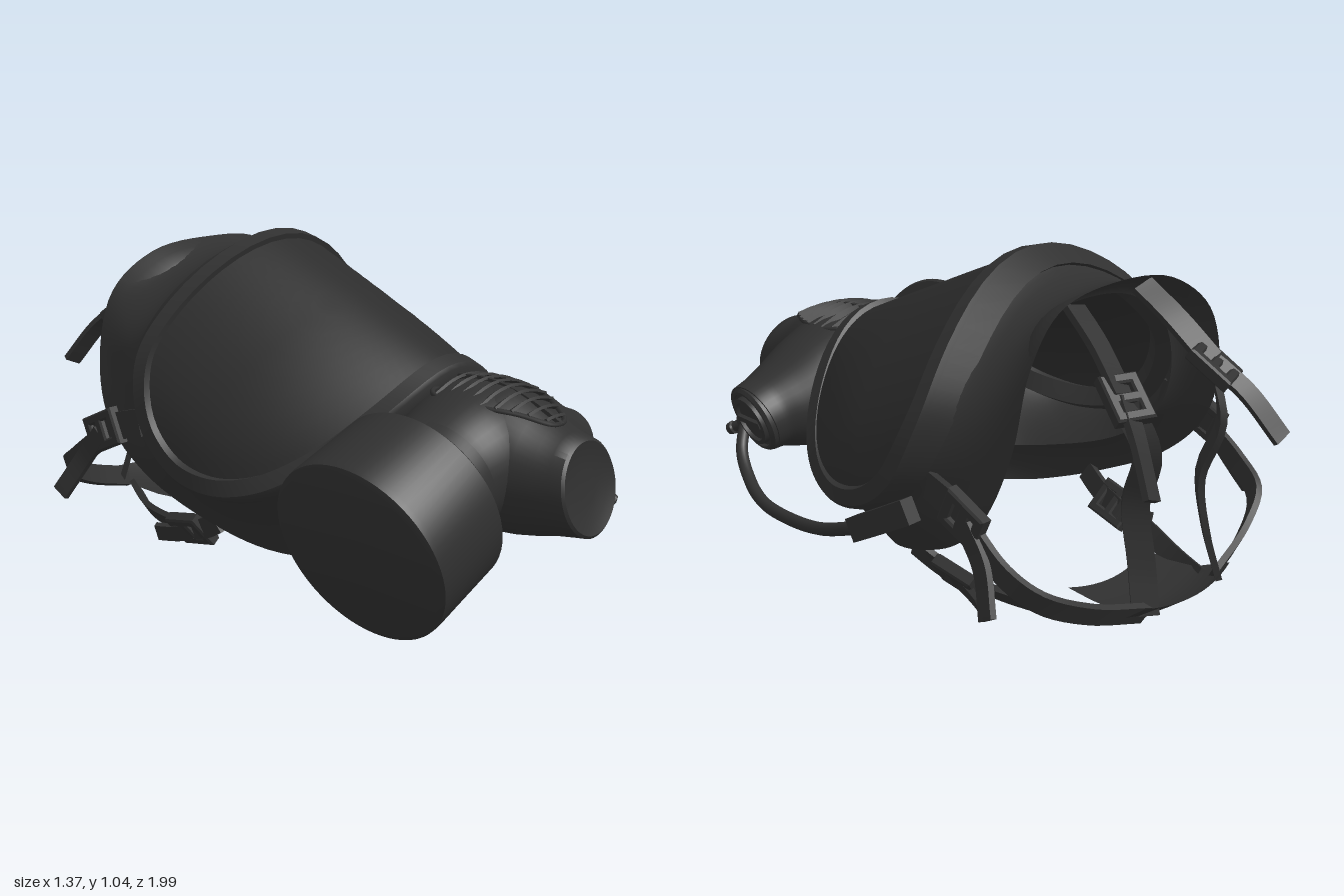
import * as THREE from 'three';
import { toCreasedNormals } from 'three/addons/utils/BufferGeometryUtils.js';

const V = (x, y, z) => new THREE.Vector3(x, y, z);
const rubber = new THREE.MeshStandardMaterial({ color: 0x303030, side: THREE.DoubleSide });
const lensMat = new THREE.MeshStandardMaterial({ color: 0x2c2c2c, side: THREE.DoubleSide });

// Skin between rings of points; ringClosed joins each ring, loop joins last to first, caps close the ends
function loft(rings, { ringClosed = true, loop = false, caps = false } = {}, crease = 0.6) {
  const n = rings[0].length, pos = [], idx = [], m = rings.length;
  rings.forEach(r => r.forEach(p => pos.push(p.x, p.y, p.z)));
  for (let i = 0; i < (loop ? m : m - 1); i++)
    for (let j = 0; j < (ringClosed ? n : n - 1); j++) {
      const k = (j + 1) % n, a = i * n, b = ((i + 1) % m) * n;
      idx.push(a + j, a + k, b + j, a + k, b + k, b + j);
    }
  if (caps) [0, m - 1].forEach(e => {
    const c = rings[e].reduce((s, p) => s.add(p), V(0, 0, 0)).divideScalar(n);
    const ci = pos.length / 3;
    pos.push(c.x, c.y, c.z);
    for (let j = 0; j < n; j++) {
      const k = (j + 1) % n;
      e ? idx.push(e * n + j, e * n + k, ci) : idx.push(k, j, ci);
    }
  });
  const g = new THREE.BufferGeometry();
  g.setAttribute('position', new THREE.Float32BufferAttribute(pos, 3));
  g.setIndex(idx);
  return toCreasedNormals(g, crease);
}

// Flat ribbon along a smooth path, its width lying along wdir
function ribbon(pts, wdir, w, h, seg = 20) {
  const c = new THREE.CatmullRomCurve3(pts), rings = [];
  for (let i = 0; i <= seg; i++) {
    const p = c.getPoint(i / seg), T = c.getTangent(i / seg);
    const W = wdir.clone().addScaledVector(T, -wdir.dot(T)).normalize();
    const N = T.clone().cross(W);
    rings.push([[-1, -1], [1, -1], [1, 1], [-1, 1]].map(([a, b]) =>
      p.clone().addScaledVector(W, a * w / 2).addScaledVector(N, b * h / 2)));
  }
  return loft(rings, { caps: true });
}

export function createModel() {
  const model = new THREE.Group();
  const mask = new THREE.Group();
  mask.name = 'mask';
  mask.position.x = 0.04;
  model.add(mask);
  const add = (name, geo, mat = rubber, parent = mask) => {
    const m = new THREE.Mesh(geo, mat);
    m.name = name;
    parent.add(m);
    return m;
  };
  const turned = (name, profile, at, axis, seg = 48) => {
    const g = new THREE.LatheGeometry(profile.map(p => new THREE.Vector2(...p)), seg);
    const m = add(name, toCreasedNormals(g, 0.6));
    m.position.copy(at);
    m.quaternion.setFromUnitVectors(V(0, 1, 0), axis.clone().normalize());
    return m;
  };

  // Visor surface: a sloping arched barrel, narrower at the front; a = angle round it, t = distance up the slope
  const surf = (a, t) => {
    const c = Math.cos(a), s = 0.25 + 0.57 * (c - 0.5 * c * c * (1 - c));
    const taper = 1 - 1.1 * Math.max(0, 0.28 - t) ** 2;
    return V(0.59 * taper * Math.sin(a), 0.9 * s + 0.43 * t, 0.43 * s - 0.9 * t);
  };
  const norm = a => V(Math.sin(a), 0.9 * Math.cos(a), 0.43 * Math.cos(a)).normalize();
  const N = 108;
  const mirrored = half => half.concat(half.slice(1, -1).reverse().map(([x, ...r]) => [-x, ...r]));
  const closedCurve = half => new THREE.CatmullRomCurve3(
    mirrored(half).map(([x, y, z = 0]) => V(x, y, z)), true);
  const outline2 = closedCurve([[0, 0.685], [0.774, 0.663], [1.2, 0.595], [1.5, 0.436], [1.571, 0.285],
    [1.52, 0.133], [1.362, 0.007], [1.039, -0.095], [0.568, -0.15], [0, -0.15]]);
  const edge = Array.from({ length: N }, (_, i) => outline2.getPoint(i / N));
  const outline = edge.map(e => surf(e.x, e.y));

  // Lens: rings shrinking to the middle of the surface
  const lensRings = [];
  for (let k = 0; k <= 10; k++) {
    const f = 0.97 * (1 - k / 10) + 0.001;
    lensRings.push(edge.map(e => surf(e.x * f, 0.28 + (e.y - 0.28) * f)));
  }
  add('visorLens', loft(lensRings, {}, 1), lensMat);

  // Raised frame swept along the outline, with a collar sloping back over the brow
  const mid = surf(0, 0.28);
  add('visorFrame', loft(outline.map((p, i) => {
    const T = outline[(i + 1) % N].clone().sub(outline[(i + N - 1) % N]).normalize();
    const n = norm(edge[i].x), B = T.clone().cross(n).normalize();
    if (B.dot(p.clone().sub(mid)) < 0) B.negate();
    const brow = Math.max(0, Math.cos(i / N * Math.PI * 2));
    return [[-0.055, -0.01], [-0.05, 0.018], [0, 0.02 - 0.01 * brow], [0.012, 0.01 - 0.015 * brow],
      [0.024 + 0.045 * brow, -0.025 - 0.045 * brow], [0, -0.05 - 0.03 * brow]]
      .map(([b, h]) => p.clone().addScaledVector(B, b).addScaledVector(n, h));
  }), { loop: true }));

  // Face piece: skin from the frame back to the rim of the face opening
  const rimCurve = closedCurve([[0, 0.99, -0.575], [0.25, 0.96, -0.595], [0.4, 0.84, -0.63], [0.465, 0.62, -0.63],
    [0.49, 0.42, -0.56], [0.47, 0.27, -0.42], [0.42, 0.15, -0.2], [0.34, 0.07, 0.02], [0.2, 0.045, 0.22], [0, 0.025, 0.3]]);
  const rim = Array.from({ length: N }, (_, i) => rimCurve.getPoint(i / N));
  const bodyRings = [];
  for (let k = 0; k <= 10; k++) {
    const f = k / 10, bulge = 4 * f * (1 - f);
    bodyRings.push(outline.map((p, i) => {
      const c = Math.cos(i / N * Math.PI * 2);
      const q = p.clone().lerp(rim[i], f);
      q.x *= 1 - 0.06 * bulge * THREE.MathUtils.smoothstep(c, -0.4, 0.4);
      return q.add(V(0, -0.045 * bulge * Math.max(0, c), 0.08 * bulge * Math.max(0, -c)));
    }));
  }
  add('facePiece', loft(bodyRings, {}, 1.2));
  // Turned-in seal inside the rim, deeper toward the chin
  add('faceSeal', loft([0, 0.25, 0.5, 0.75, 1].map(f => rim.map((p, i) => {
    const d = (0.24 - 0.09 * Math.cos(i / N * Math.PI * 2)) * f;
    return V(p.x * (1 - d), p.y + (0.48 - p.y) * d, p.z + 0.12 * Math.sin(f * 1.5));
  })), {}, 1));
  const cup = add('noseCup', new THREE.SphereGeometry(1, 32, 16, 0, Math.PI));
  cup.scale.set(0.22, 0.22, 0.18);
  cup.position.set(0, 0.36, 0.26);

  // Snout: cross tube reaching from filter port to side valve
  const sn = [[-0.34, 0.375, 0.62, 0.18], [-0.24, 0.405, 0.61, 0.185], [-0.12, 0.425, 0.6, 0.21], [0, 0.43, 0.58, 0.225],
    [0.13, 0.42, 0.58, 0.216], [0.24, 0.4, 0.58, 0.188], [0.34, 0.38, 0.585, 0.148], [0.4, 0.37, 0.59, 0.125], [0.445, 0.36, 0.59, 0.117]];
  const snC = new THREE.CatmullRomCurve3(sn.map(p => V(p[0], p[1], p[2])));
  const snR = new THREE.CatmullRomCurve3(sn.map(p => V(p[3], 0, 0)));
  const snout = [];
  for (let i = 0; i <= 40; i++) {
    const p = snC.getPoint(i / 40), r = snR.getPoint(i / 40).x;
    const lean = i < 20 ? 0.37 * (1 - i / 20) : -0.3 * (i / 20 - 1);
    snout.push(Array.from({ length: 40 }, (_, j) => {
      const q = j / 40 * Math.PI * 2, u = r * Math.cos(q);
      return V(p.x - u * lean, p.y + u, p.z + r * 1.06 * Math.sin(q));
    }));
  }
  add('snout', loft(snout, { caps: true }, 0.8));

  // Front outlet flaring out of the snout, end tipped slightly up and dished: z, centre height, radius, lean
  const outlet = [[0.6, 0.43, 0.224, 0], [0.7, 0.425, 0.218, 0], [0.76, 0.415, 0.205, 0.03], [0.82, 0.405, 0.185, 0.07], [0.88, 0.398, 0.164, 0.12],
    [0.93, 0.393, 0.152, 0.16], [0.968, 0.39, 0.145, 0.17], [0.975, 0.39, 0.136, 0.17], [0.963, 0.39, 0.1, 0.17], [0.957, 0.39, 0.05, 0.17]];
  add('frontOutlet', loft(outlet.map(([z, y, r, lean]) => Array.from({ length: 48 }, (_, j) => {
    const q = j / 48 * Math.PI * 2, u = r * Math.cos(q);
    return V(r * Math.sin(q), y + u, z - u * lean);
  })), { caps: true }));

  // Vent grille on top of the snout
  const gy = (x, z) => 0.657 - 0.9 * Math.max(0, z - 0.58) ** 1.8 - 0.6 * Math.max(0, 0.58 - z) ** 2 - 1.5 * x * x;
  const gw = z => z < 0.62 ? 0.165 - 9 * Math.max(0, 0.56 - z) ** 2 : 0.165 - 0.135 * ((z - 0.62) / 0.24) ** 1.6;
  const grille = new THREE.Group();
  grille.name = 'ventGrille';
  mask.add(grille);
  for (let i = 0; i < 9; i++) {
    const z = 0.52 + i * 0.04, w = gw(z);
    add('ventSlat', ribbon([-1, -0.5, 0, 0.5, 1].map(f => V(f * w, gy(f * w, z), z)), V(0, 0.5, 0.8), 0.024, 0.009, 12), rubber, grille);
  }
  add('ventRib', ribbon([0.5, 0.6, 0.7, 0.8, 0.87].map(z => V(0, gy(0, z), z)), V(1, 0, 0), 0.014, 0.014, 12), rubber, grille);
  const gz = [0.5, 0.56, 0.62, 0.7, 0.78, 0.86];
  const gPts = gz.map(z => V(gw(z), gy(gw(z), z), z)).concat([...gz].reverse().map(z => V(-gw(z), gy(gw(z), z), z)));
  add('ventRim', new THREE.TubeGeometry(new THREE.CatmullRomCurve3(gPts, true), 64, 0.008, 6, true), rubber, grille);

  // Filter canister and its collar
  turned('filterCanister', [[0, 0], [0.27, 0.002], [0.288, 0.012], [0.29, 0.03], [0.285, 0.29], [0.275, 0.3], [0.21, 0.3],
    [0.2, 0.31], [0.2, 0.35], [0.185, 0.36], [0.18, 0.42]], V(-0.635, 0.272, 0.63), V(0.938, 0.347, 0), 64);

  // Side valve with stepped rings and a grip bar
  const valve = turned('sideValve', [[0.118, -0.04], [0.118, 0.01], [0.108, 0.02], [0.1, 0.02], [0.098, 0.008], [0.088, 0.008],
    [0.086, 0.028], [0.072, 0.03], [0.07, 0.018], [0, 0.018]], V(0.44, 0.36, 0.59), V(0.95, -0.28, 0.08));
  const bar = add('valveGrip', new THREE.BoxGeometry(0.02, 0.018, 0.135), rubber, valve);
  bar.position.y = 0.023;

  // Drinking hose, its elbow, spout and storage sleeve
  add('drinkingHose', new THREE.TubeGeometry(new THREE.CatmullRomCurve3([V(0.35, 0.28, 0.78), V(0.41, 0.19, 0.73), V(0.46, 0.125, 0.62),
    V(0.51, 0.11, 0.48), V(0.55, 0.13, 0.3), V(0.585, 0.18, 0.08), V(0.61, 0.27, -0.14)]), 60, 0.021, 12));
  turned('hoseElbow', [[0, 0], [0.036, 0], [0.036, 0.1], [0.028, 0.12], [0, 0.12]], V(0.31, 0.33, 0.71), V(0.35, -0.5, 0.6), 20);
  turned('hoseSpout', [[0, 0], [0.024, 0], [0.018, 0.06], [0.024, 0.065], [0.02, 0.085], [0, 0.09]], V(0.35, 0.27, 0.77), V(0.25, -0.3, 0.5), 16);
  add('hoseSleeve', ribbon([V(0.605, 0.26, -0.12), V(0.615, 0.33, -0.24), V(0.6, 0.4, -0.36)], V(0, 1, 0.5), 0.075, 0.05, 8));

  // Harness: buckles and straps on both sides
  const shape = new THREE.Shape();
  shape.moveTo(-0.055, -0.07).lineTo(0.055, -0.07).lineTo(0.055, 0.07).lineTo(-0.055, 0.07).closePath();
  [[-0.05, -0.008], [0.012, 0.05]].forEach(([a, b]) => shape.holes.push(new THREE.Path()
    .moveTo(-0.036, a).lineTo(-0.036, b).lineTo(0.036, b).lineTo(0.036, a).closePath()));
  const buckleGeo = new THREE.ExtrudeGeometry(shape, { depth: 0.03, bevelSize: 0.006, bevelThickness: 0.006, bevelSegments: 1 }).translate(0, 0, -0.015);
  const harness = new THREE.Group();
  harness.name = 'harness';
  mask.add(harness);
  for (const s of [1, -1]) {
    const P = (x, y, z) => V(s * x, y, z);
    const strap = (name, pts, w, width) => add(name, ribbon(pts.map(p => P(...p)), P(...w), width, 0.02), rubber, harness);
    const buckle = (name, at, along, across) => {
      const T = P(...along).normalize(), W = P(...across);
      W.addScaledVector(T, -W.dot(T)).normalize();
      const b = add(name, buckleGeo, rubber, harness);
      b.quaternion.setFromRotationMatrix(new THREE.Matrix4().makeBasis(W, T, W.clone().cross(T)));
      b.position.copy(P(...at));
    };
    // forehead
    strap('foreheadTab', [[0.15, 0.95, -0.56], [0.17, 0.87, -0.67], [0.2, 0.76, -0.79]], [1, 0, -0.3], 0.08);
    buckle('foreheadBuckle', [0.2, 0.75, -0.8], [0.25, -0.55, -0.7], [1, 0, 0.3]);
    strap('foreheadTail', [[0.2, 0.755, -0.8], [0.25, 0.67, -0.89], [0.3, 0.54, -0.985]], [1, 0, -0.3], 0.06);
    strap('crownStrap', [[0.2, 0.74, -0.8], [0.17, 0.6, -0.86], [0.15, 0.42, -0.81], [0.15, 0.25, -0.84], [0.17, 0.1, -0.88]], [0.8, 0, 0.8], 0.08);
    // temple
    strap('templeTab', [[0.53, 0.46, -0.36], [0.535, 0.43, -0.47], [0.54, 0.39, -0.56]], [0, 1, -0.5], 0.09);
    buckle('templeBuckle', [0.545, 0.41, -0.52], [0, -0.4, -0.9], [0, 1, -0.4]);
    strap('templeTail', [[0.555, 0.4, -0.53], [0.565, 0.3, -0.61], [0.61, 0.18, -0.68]], [0, 0.5, -0.6], 0.06);
    strap('templeStrap', [[0.54, 0.39, -0.53], [0.54, 0.29, -0.67], [0.5, 0.23, -0.77], [0.36, 0.16, -0.83], [0.16, 0.1, -0.87]], [0, 1, -0.5], 0.07);
    // jaw
    strap('jawTab', [[0.4, 0.14, -0.15], [0.38, 0.1, -0.23], [0.36, 0.07, -0.33]], [0.3, 1, 0], 0.07);
    buckle('jawBuckle', [0.365, 0.075, -0.31], [-0.1, -0.2, -1], [0.6, 0.8, 0]);
    strap('jawTail', [[0.37, 0.07, -0.31], [0.375, 0.05, -0.37], [0.4, 0.045, -0.44]], [0.4, 1, 0], 0.06);
    strap('jawStrap', [[0.36, 0.075, -0.32], [0.32, 0.06, -0.48], [0.25, 0.05, -0.65], [0.16, 0.07, -0.82]], [0.6, 0.8, 0], 0.065);
  }
  // Neck pad joining the straps
  const padRings = [[0.18, 0.06, -0.61], [0.18, 0.055, -0.7], [0.19, 0.065, -0.8], [0.24, 0.09, -0.88], [0.2, 0.12, -0.92]].map(([w, y, z]) =>
    Array.from({ length: 13 }, (_, i) => {
      const f = i / 6 - 1;
      return V(f * w, y + 0.02 * f * f, z + 0.03 * f * f - 0.01);
    }));
  add('neckPad', loft(padRings, { ringClosed: false }, 1), rubber, harness);
  return model;
}
